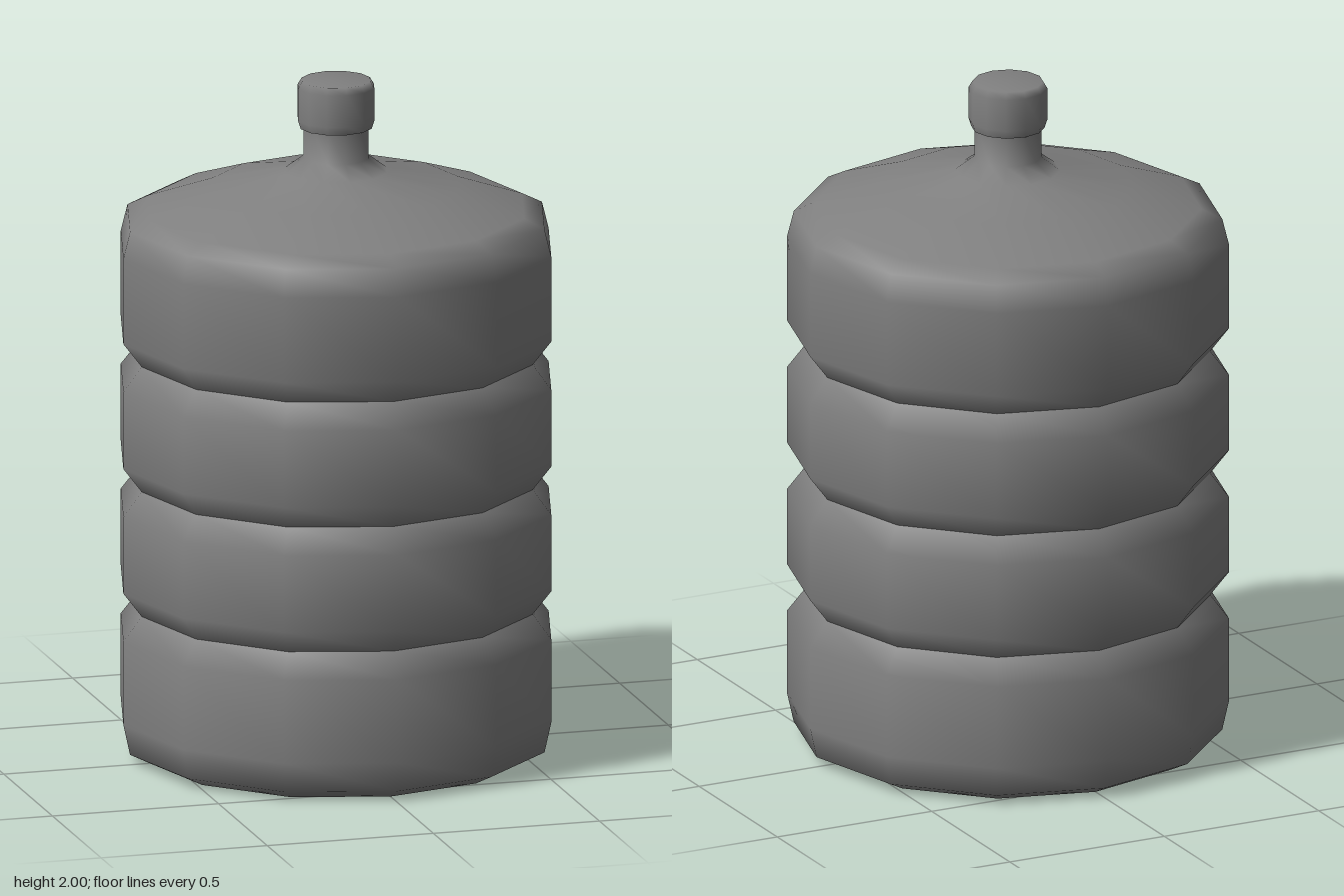
import * as THREE from 'three';

const SIDES = 12;

export function createModel() {
  const model = new THREE.Group();
  model.name = 'waterBottle';
  const plastic = new THREE.MeshStandardMaterial({ color: 0x808080 });
  plastic.name = 'grey plastic';

  // Each part is a twelve-sided turning, profile listed from bottom to top
  const turn = (name, profile) => {
    const points = profile.map(([r, y]) => new THREE.Vector2(r, y));
    const mesh = new THREE.Mesh(new THREE.LatheGeometry(points, SIDES), plastic);
    mesh.name = name;
    model.add(mesh);
  };

  const R = 0.64;       // body radius
  const GROOVE = 0.585; // radius at the grooves
  const grooves = [0.44, 0.812, 1.185];
  const bevel = 0.072;

  // Base with a hollow underside
  turn('base', [
    [0, 0.08], [0.2, 0.08], [0.3, 0], [0.56, 0], [0.62, 0.03],
    [R, 0.12], [R, grooves[0] - bevel], [GROOVE, grooves[0]],
  ]);

  // Middle bands, split at the grooves to keep the creases sharp
  for (let i = 0; i < 2; i++) {
    const [low, high] = [grooves[i], grooves[i + 1]];
    turn('band' + (i + 1), [
      [GROOVE, low], [R, low + bevel], [R, high - bevel], [GROOVE, high],
    ]);
  }

  // Top band, sloping shoulder and neck
  turn('shoulderAndNeck', [
    [GROOVE, grooves[2]], [R, grooves[2] + bevel], [R, 1.51], [0.62, 1.59], [0.56, 1.62],
    [0.366, 1.685], [0.15, 1.73], [0.097, 1.77], [0.097, 1.87],
  ]);

  // Cap
  turn('capUnderside', [[0.09, 1.86], [0.106, 1.86]]);
  turn('cap', [[0.106, 1.86], [0.114, 1.885], [0.114, 1.98], [0.102, 2], [0, 2]]);

  return model;
}
